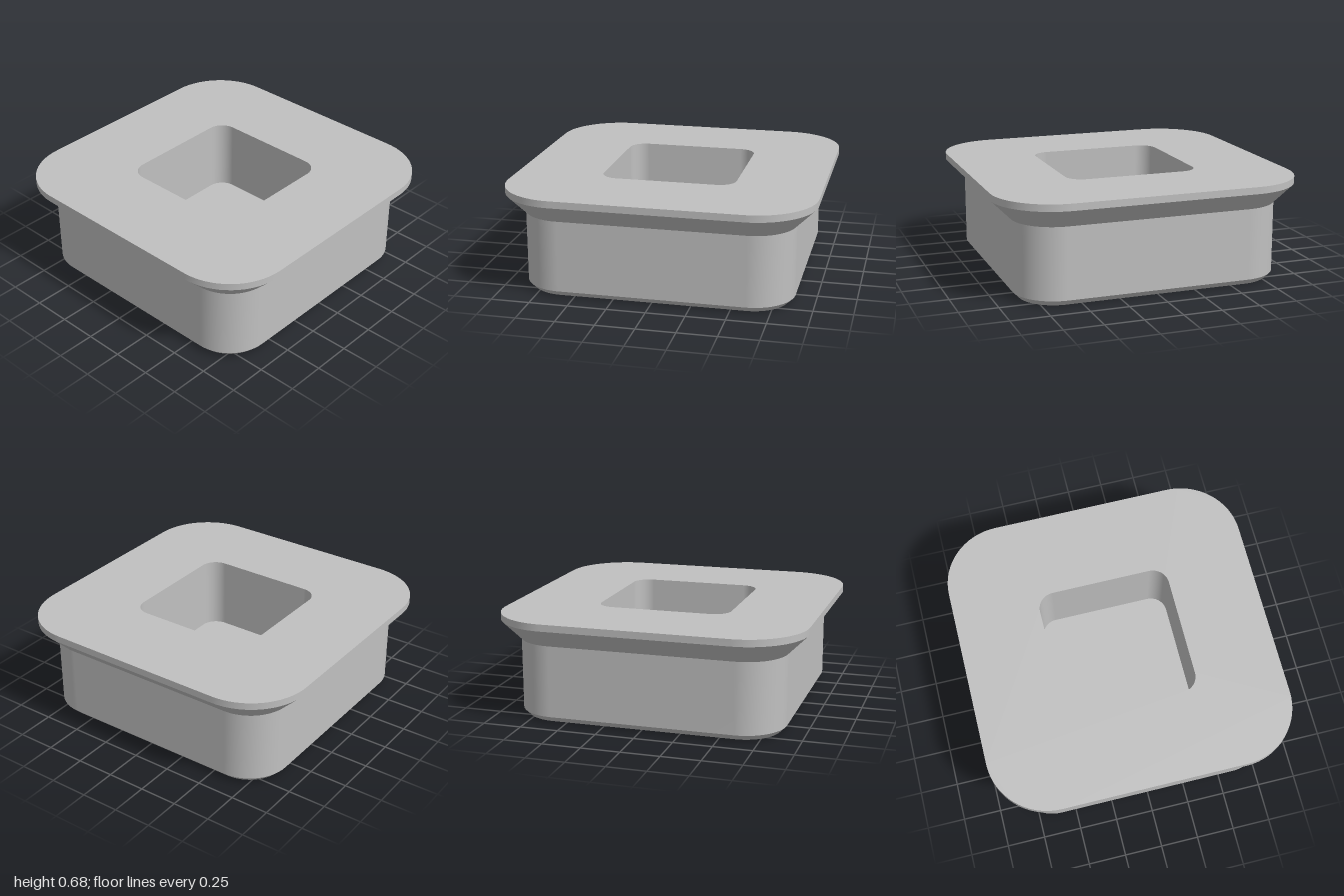
import * as THREE from 'three';

// Rounded square outline in the (x, z) plane
function roundedSquare(half, radius, steps = 16) {
  const points = [];
  const c = half - radius;
  for (let corner = 0; corner < 4; corner++) {
    const mid = Math.PI / 4 + corner * Math.PI / 2;
    const cx = c * Math.sign(Math.cos(mid)), cz = c * Math.sign(Math.sin(mid));
    for (let i = 0; i <= steps; i++) {
      const a = (corner + i / steps) * Math.PI / 2;
      points.push(new THREE.Vector2(cx + radius * Math.cos(a), cz + radius * Math.sin(a)));
    }
  }
  return points;
}

// Band between two outlines; rising bands face outward, falling ones inward
function band(from, y0, to, y1, sharp = false) {
  const n = from.length, positions = [], index = [];
  from.forEach(p => positions.push(p.x, y0, p.y));
  to.forEach(p => positions.push(p.x, y1, p.y));
  for (let i = 0; i < n; i++) {
    const j = (i + 1) % n;
    index.push(i, n + i, j, j, n + i, n + j);
  }
  let geometry = new THREE.BufferGeometry();
  geometry.setAttribute('position', new THREE.Float32BufferAttribute(positions, 3));
  geometry.setIndex(index);
  if (sharp) geometry = geometry.toNonIndexed();
  geometry.computeVertexNormals();
  return geometry;
}

// Flat face at height y, with optional holes (all outlines mirror in z)
function face(outline, y, up, holes = []) {
  const shape = new THREE.Shape(outline);
  holes.forEach(h => shape.holes.push(new THREE.Path(h)));
  return new THREE.ShapeGeometry(shape).rotateX(up ? -Math.PI / 2 : Math.PI / 2).translate(0, y, 0);
}

export function createModel() {
  const model = new THREE.Group();
  model.name = 'flangedBlock';
  const grey = new THREE.MeshStandardMaterial({ color: 0xc0c0c0 });
  grey.name = 'grey';
  const add = (name, geometry) => {
    const mesh = new THREE.Mesh(geometry, grey);
    mesh.name = name;
    model.add(mesh);
  };

  const height = 0.675, floorY = 0.195, recessY = 0.08;
  const base = roundedSquare(0.835, 0.235);
  const body = roundedSquare(0.873, 0.273);
  const rim = roundedSquare(1, 0.4);
  const pocket = roundedSquare(0.44, 0.11);

  // Outer shell
  add('baseChamfer', band(base, 0, body, 0.038));
  add('bodyWall', band(body, 0.038, body, 0.503));
  add('flangeUnderside', band(body, 0.503, rim, 0.63));
  add('flangeEdge', band(rim, 0.63, rim, height));

  // Top face and square pocket
  add('topFace', face(rim, height, true, [pocket]));
  add('pocketWall', band(pocket, height, pocket, floorY));
  add('pocketFloor', face(pocket, floorY, true));

  // Underside with a triangular recess and two slots
  const bar = (x0, x1) => [[x1, -0.34], [x1, 0.34], [x0, 0.34], [x0, -0.34]];
  const recesses = {
    triangleRecess: [[0.493, -0.34], [0.493, 0.34], [-0.005, 0]],
    innerSlot: bar(-0.27, -0.145),
    outerSlot: bar(-0.51, -0.38),
  };
  const holes = [];
  for (const [name, corners] of Object.entries(recesses)) {
    const outline = corners.map(([x, z]) => new THREE.Vector2(x, z));
    holes.push(outline);
    add(name + 'Wall', band(outline, recessY, outline, 0, true));
    add(name + 'Floor', face(outline, recessY, false));
  }
  add('underside', face(base, 0, false, holes));

  return model;
}
